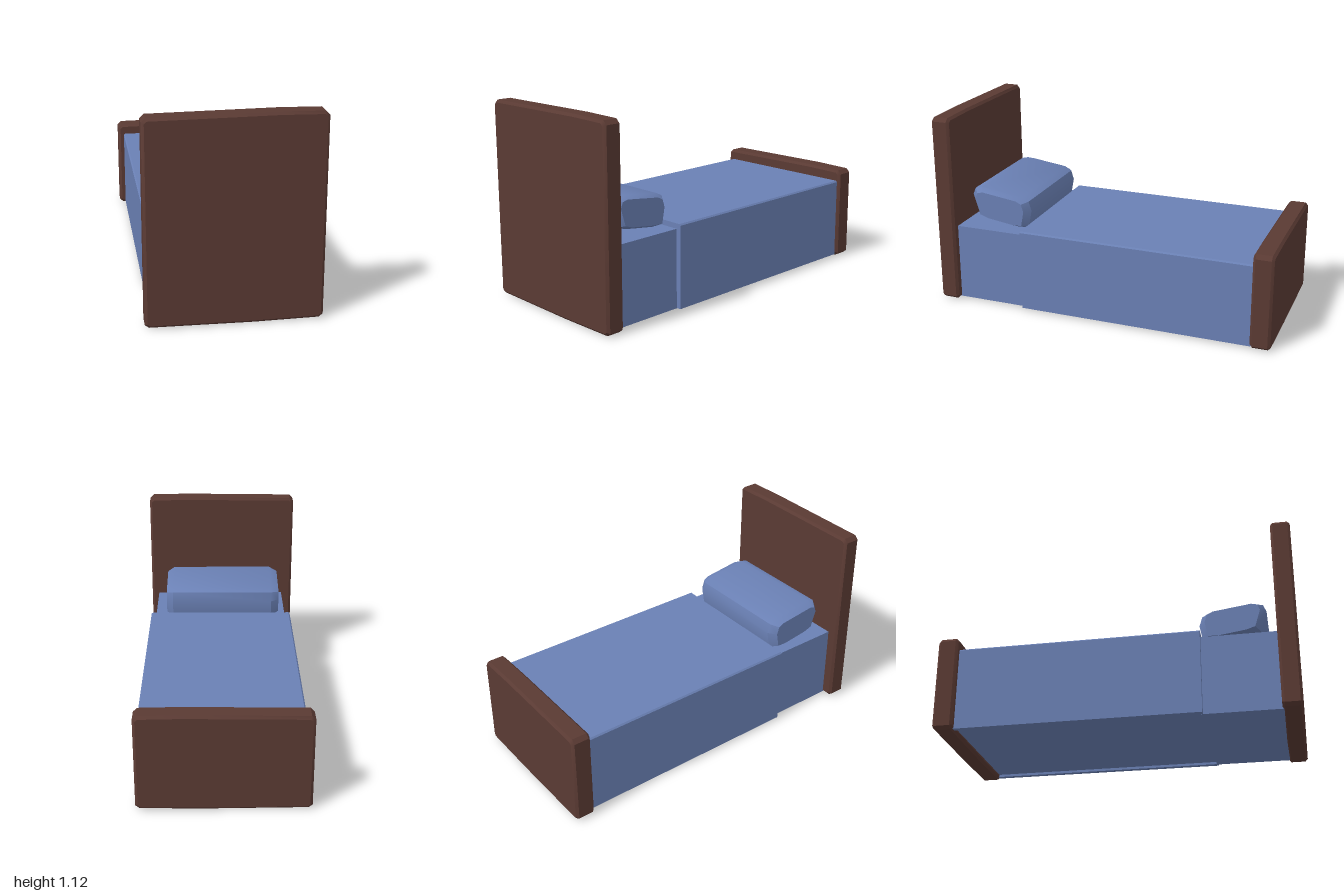
import * as THREE from 'three';
import { toCreasedNormals } from 'three/addons/utils/BufferGeometryUtils.js';
import { ConvexGeometry } from 'three/addons/geometries/ConvexGeometry.js';

const wood = new THREE.MeshStandardMaterial({ color: 0x5a3a33 });
const cloth = new THREE.MeshStandardMaterial({ color: 0x6a80b4 });

function addMesh(parent, name, geometry, material) {
  const mesh = new THREE.Mesh(geometry, material);
  mesh.name = name;
  parent.add(mesh);
  return mesh;
}

// Outline in x/y extruded along z, with optional chamfered rims
function slab(points, z0, z1, bevel = 0) {
  const shape = new THREE.Shape(points.map(([x, y]) => new THREE.Vector2(x, y)));
  const geometry = new THREE.ExtrudeGeometry(shape, {
    depth: z1 - z0 - 2 * bevel,
    bevelEnabled: bevel > 0,
    bevelThickness: bevel,
    bevelSize: bevel,
    bevelOffset: -bevel,
    bevelSegments: 1,
  });
  geometry.translate(0, 0, z0 + bevel);
  return toCreasedNormals(geometry, 0.6);
}

// Wooden end board with cut corners and a slightly uneven top edge
function board(height, z0, z1) {
  const w = 0.465, c = 0.022;
  return slab([
    [-w + c, 0.006], [0.1, 0], [w - c, 0.004], [w, c],
    [w, height - c - 0.004], [w - c, height - 0.004], [0.22, height],
    [-w + c, height - 0.007], [-w, height - c - 0.007], [-w, c],
  ], z0, z1, 0.014);
}

// Pillow hull: scaled copies of a tilted side profile placed along x
function pillow() {
  const profile = [ // z, y
    [0.78, 0.68], [0.52, 0.645], [0.48, 0.625], [0.463, 0.57], [0.483, 0.465],
    [0.55, 0.463], [0.74, 0.49], [0.80, 0.51], [0.837, 0.63], [0.82, 0.67],
  ];
  const cz = 0.65, cy = 0.572;
  const sections = [[-0.358, 0.82], [-0.31, 1], [0.31, 1], [0.35, 0.82]]; // x, scale
  const points = [];
  for (const [x, s] of sections) {
    for (const [z, y] of profile) {
      points.push(new THREE.Vector3(x, cy + (y - cy) * s, cz + (z - cz) * s));
    }
  }
  return toCreasedNormals(new ConvexGeometry(points), 0.6);
}

export function createModel() {
  const bed = new THREE.Group();
  bed.name = 'bed';

  addMesh(bed, 'headboard', board(1.12, 0.89, 1), wood);
  addMesh(bed, 'footboard', board(0.558, -1, -0.885), wood);

  // Exposed end of the mattress beside the headboard
  const mattress = new THREE.BoxGeometry(0.82, 0.45, 0.435);
  mattress.translate(0.01, 0.235, 0.6825);
  addMesh(bed, 'mattress', mattress, cloth);

  // Blanket over the rest, its sides hanging just below the underside
  const l = -0.43, r = 0.448, hem = 0.03;
  addMesh(bed, 'blanket', slab([
    [l, 0.012], [l + hem, 0.012], [l + hem, 0.026], [r - hem, 0.026],
    [r - hem, 0.012], [r, 0.012], [r, 0.482], [r - 0.008, 0.49],
    [l + 0.008, 0.49], [l, 0.482],
  ], -0.89, 0.475), cloth);

  addMesh(bed, 'pillow', pillow(), cloth);
  return bed;
}
